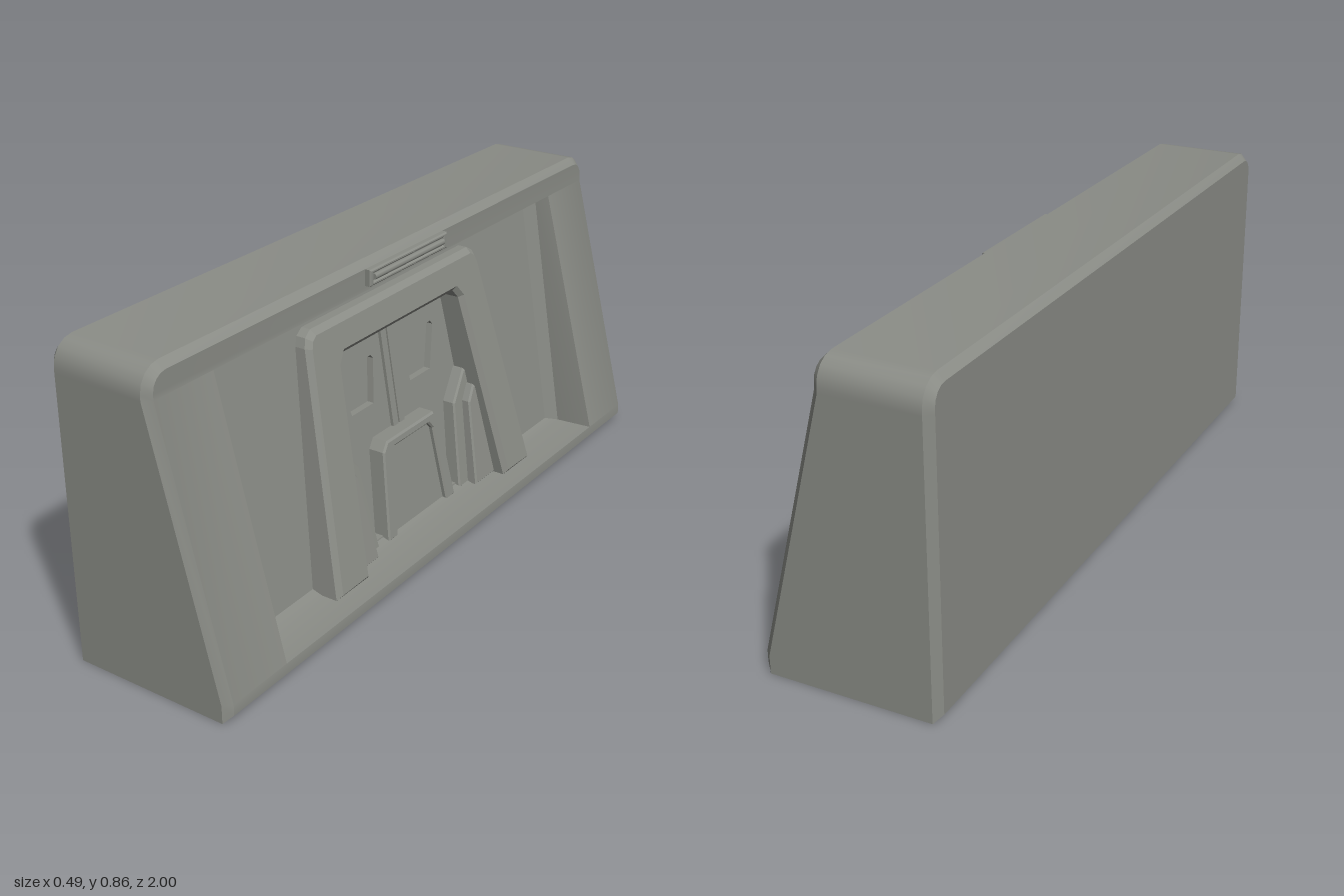
import * as THREE from 'three';
import { toCreasedNormals } from 'three/addons/utils/BufferGeometryUtils.js';

const paint = new THREE.MeshStandardMaterial({ color: 0x8a8c86 });
paint.name = 'stone grey';

// Horizontal position of the sloping front at a given height
const faceX = (y) => 0.245 - 0.256 * (Math.min(Math.max(y, 0.05), 0.78) - 0.05);
// Horizontal position of the recessed wall
const wallX = (y) => 0.105 - 0.162 * (y - 0.05);

// Outline as [z, y], counter-clockwise seen from +x, with round upper corners
function outline(inset) {
  const w = 1 - inset, top = 0.86 - inset, r = 0.065 - inset, pts = [];
  pts.push([w, inset], [-w, inset], [-w, 0.05], [-w, 0.78]);
  for (const side of [-1, 1]) {
    for (let i = 0; i <= 4; i++) {
      const a = (side < 0 ? i : 4 - i) * Math.PI / 8;
      pts.push([side * (w - r + r * Math.cos(a)), top - r + r * Math.sin(a)]);
    }
  }
  pts.push([w, 0.78], [w, 0.05]);
  return pts;
}

const rect = (w, y0, y1) => [[w, y0], [-w, y0], [-w, y1], [w, y1]];
const place = (pts, fx) => pts.map(([z, y]) => [fx(y), y, z]);

function geometryFrom(tris) {
  const g = new THREE.BufferGeometry();
  g.setAttribute('position', new THREE.Float32BufferAttribute(tris.flat(), 3));
  g.computeVertexNormals();
  return toCreasedNormals(g, 0.5);
}

// Skin between successive rings
function loft(rings) {
  const t = [];
  for (let k = 0; k + 1 < rings.length; k++) {
    const a = rings[k], b = rings[k + 1], n = a.length;
    for (let i = 0; i < n; i++) {
      const j = (i + 1) % n;
      t.push(a[i], a[j], b[j], a[i], b[j], b[i]);
    }
  }
  return t;
}

// Flat convex face
function fan(p) {
  const t = [];
  for (let i = 1; i + 1 < p.length; i++) t.push(p[0], p[i], p[i + 1]);
  return t;
}

function add(group, name, geometry) {
  const m = new THREE.Mesh(geometry, paint);
  m.name = name;
  group.add(m);
}

// Plate drawn in [z, y], its front leaning back from x0 at the floor by slope
function plate(pts, x0, slope, depth, bevel = 0, holes = []) {
  const vec = (list) => list.map(([z, y]) => new THREE.Vector2(-z, y));
  const shape = new THREE.Shape(vec(pts));
  for (const h of holes) shape.holes.push(new THREE.Path(vec(h)));
  const g = new THREE.ExtrudeGeometry(shape, {
    depth, bevelEnabled: bevel > 0, bevelThickness: bevel, bevelSize: bevel,
    bevelOffset: -bevel, bevelSegments: 1,
  });
  g.translate(0, 0, -depth - bevel);
  g.rotateY(Math.PI / 2);
  const p = g.attributes.position;
  for (let i = 0; i < p.count; i++) p.setX(i, p.getX(i) + x0 + slope * (p.getY(i) - 0.05));
  g.computeVertexNormals();
  return g;
}

const flip = (pts) => pts.map(([z, y]) => [-z, y]).reverse();
const symmetric = (half) => [...half, ...flip(half)];

export function createModel() {
  const group = new THREE.Group();
  group.name = 'gateBlock';

  // Chamfered outer shell
  const small = outline(0.02), full = outline(0);
  const back = place(small, () => -0.245);
  const shell = loft([
    back,
    place(full, () => -0.225),
    place(full, (y) => faceX(y) - 0.02),
    place(small, faceX),
  ]);
  shell.push(...fan([...back].reverse()));
  add(group, 'outerShell', geometryFrom(shell));

  // Front border: lintel, sill and two sloping jambs
  const border = fan(place(small.filter((p) => p[1] >= 0.78), faceX));
  border.push(...fan(place(rect(0.98, 0.02, 0.05), faceX)));
  for (const [a, b] of [[0.98, 0.78], [-0.78, -0.98]]) {
    border.push(...fan(place([[a, 0.05], [b, 0.05], [b, 0.78], [a, 0.78]], faceX)));
  }
  add(group, 'frontBorder', geometryFrom(border));

  // Recess sides with a chamfer against the wall
  add(group, 'recessSides', geometryFrom(loft([
    place(rect(0.78, 0.05, 0.78), faceX),
    place(rect(0.77, 0.05, 0.77), (y) => wallX(y) + 0.03),
    place(rect(0.742, 0.058, 0.752), wallX),
  ])));

  // Recessed wall with the doorway cut out
  const doorway = symmetric([[0.36, 0.062], [0.295, 0.61], [0.27, 0.645]]);
  add(group, 'recessWall', plate(rect(0.745, 0.05, 0.757), 0.105, -0.162, 0.045, 0, [doorway]));

  // Door surround, an arch standing on the sill
  const arch = symmetric([
    [0.35, 0.05], [0.49, 0.05], [0.405, 0.69], [0.395, 0.715], [0.37, 0.73],
  ]).concat([[-0.285, 0.61], [-0.265, 0.635], [0.265, 0.635], [0.285, 0.61]]);
  add(group, 'doorSurround', plate(arch, 0.195, -0.235, 0.11, 0.014));

  // Door leaves with sunken windows
  const window1 = [[0.23, 0.535], [0.22, 0.547], [0.075, 0.547], [0.065, 0.535], [0.09, 0.415], [0.19, 0.415]];
  const panel = [[0.38, 0.05], [-0.38, 0.05], [-0.32, 0.66], [0.32, 0.66]];
  add(group, 'doorLeaves', plate(panel, 0.078, -0.162, 0.022, 0, [window1, flip(window1)]));
  add(group, 'windowBacks', plate(panel, 0.058, -0.162, 0.015));

  // Strip over the door joint
  for (const s of [-1, 1]) {
    const strip = [[s * 0.003, 0.3], [s * 0.027, 0.3], [s * 0.027, 0.635], [s * 0.003, 0.635]];
    add(group, 'jointStrip', plate(strip, 0.087, -0.162, 0.02));
  }

  // Stepped buttresses on either side of the door
  const low = [[0.36, 0.05], [0.205, 0.05], [0.235, 0.3], [0.305, 0.38], [0.33, 0.38]];
  const high = [[0.36, 0.05], [0.25, 0.05], [0.278, 0.295], [0.31, 0.335], [0.335, 0.335]];
  for (const side of [(p) => p, flip]) {
    add(group, 'lowButtress', plate(side(low), 0.12, -0.18, 0.06, 0.005));
    add(group, 'highButtress', plate(side(high), 0.15, -0.2, 0.08, 0.005));
  }

  // Small hatch: raised rim, inner panel and two sunken vents
  const rim = symmetric([[0.125, 0.05], [0.168, 0.05], [0.138, 0.3], [0.115, 0.325]])
    .concat([[-0.102, 0.28], [-0.085, 0.3], [0.085, 0.3], [0.102, 0.28]]);
  add(group, 'hatchRim', plate(rim, 0.127, -0.162, 0.05, 0.005));
  const hatch = symmetric([[0.135, 0.05], [0.11, 0.305]]);
  const upperVent = symmetric([[0.055, 0.222], [0.075, 0.245], [0.07, 0.262]]);
  const lowerVent = symmetric([[0.085, 0.11], [0.06, 0.155]]);
  add(group, 'hatchPanel', plate(hatch, 0.112, -0.162, 0.015, 0, [upperVent, lowerVent]));
  add(group, 'ventBacks', plate(hatch, 0.1, -0.162, 0.02));

  // Lamp bar on the lintel
  add(group, 'lampFrame', plate(rect(0.182, 0.794, 0.84), 0.076, 0, 0.022, 0.004, [rect(0.165, 0.806, 0.828)]));
  const lamp = new THREE.CylinderGeometry(0.009, 0.009, 0.326, 8);
  lamp.rotateX(Math.PI / 2);
  lamp.translate(0.072, 0.817, 0);
  add(group, 'lampTube', lamp);

  return group;
}
